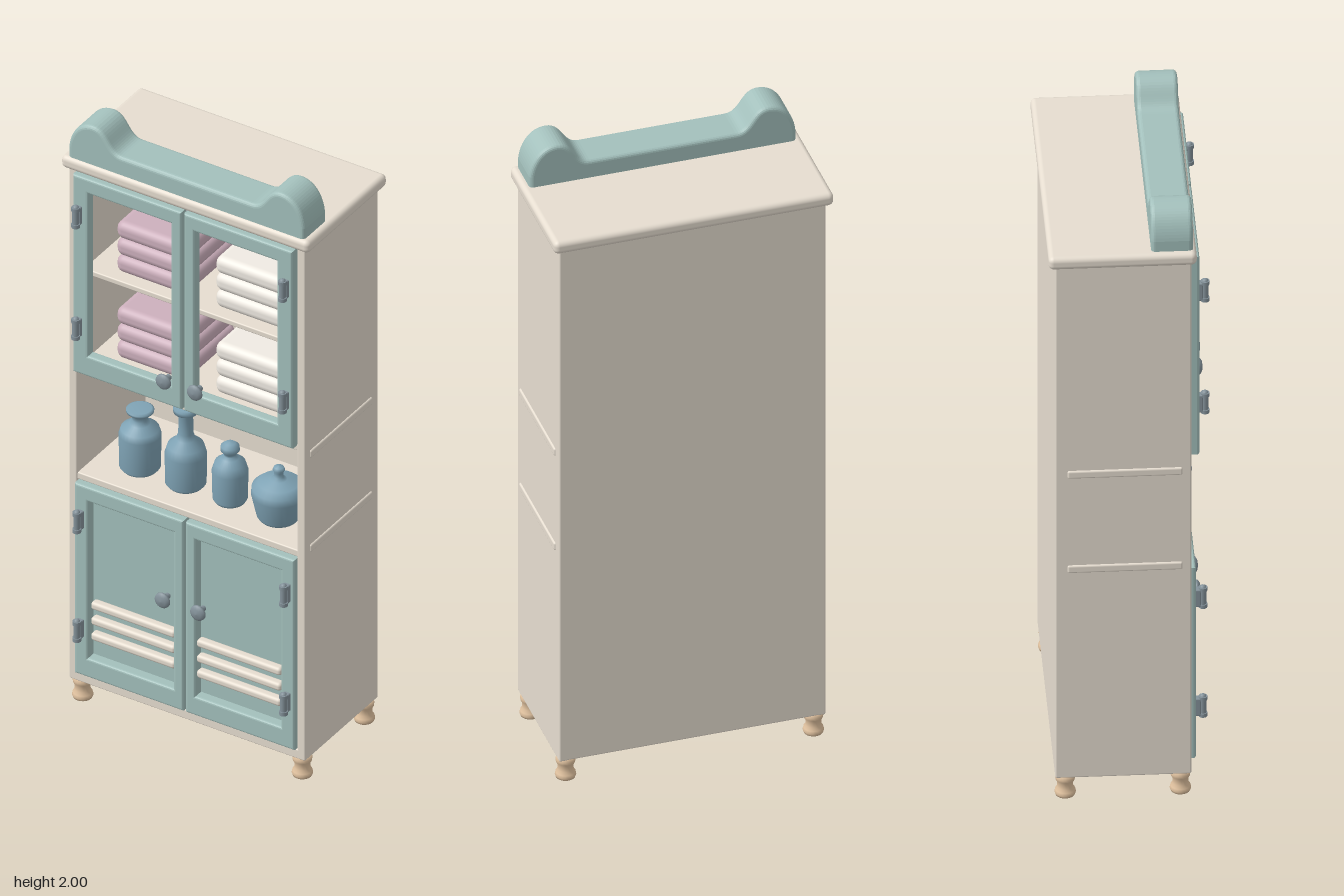
import * as THREE from 'three';
import { RoundedBoxGeometry } from 'three/addons/geometries/RoundedBoxGeometry.js';

const paint = (color) => new THREE.MeshStandardMaterial({ color });
const cream = paint(0xe6ddd0), teal = paint(0xa3c0bc), blue = paint(0x7fa3b5);
const pink = paint(0xcdb0bd), white = paint(0xf0ebe3), wood = paint(0xe2c3a0), metal = paint(0x84929a);

// Rounded box given by its limits on each axis
function slab(name, mat, [x0, x1], [y0, y1], [z0, z1], r = 0.004) {
  const mesh = new THREE.Mesh(new RoundedBoxGeometry(x1 - x0, y1 - y0, z1 - z0, 3, r), mat);
  mesh.position.set((x0 + x1) / 2, (y0 + y1) / 2, (z0 + z1) / 2);
  mesh.name = name;
  return mesh;
}

function lathe(name, mat, points, x, y, z, segments = 28) {
  const profile = points.map(([r, h]) => new THREE.Vector2(r, h));
  const mesh = new THREE.Mesh(new THREE.LatheGeometry(profile, segments), mat);
  mesh.position.set(x, y, z);
  mesh.name = name;
  return mesh;
}

// Door frame with a bevelled rectangular opening
function doorFrame(name, [x0, x1], [y0, y1], [hx0, hx1], [hy0, hy1], z0, z1) {
  const b = 0.007;
  const shape = new THREE.Shape();
  shape.moveTo(x0 + b, y0 + b).lineTo(x1 - b, y0 + b).lineTo(x1 - b, y1 - b).lineTo(x0 + b, y1 - b).closePath();
  const hole = new THREE.Path();
  hole.moveTo(hx0 - b, hy0 - b).lineTo(hx0 - b, hy1 + b).lineTo(hx1 + b, hy1 + b).lineTo(hx1 + b, hy0 - b).closePath();
  shape.holes.push(hole);
  const geo = new THREE.ExtrudeGeometry(shape, {
    depth: z1 - z0 - 2 * b, bevelThickness: b, bevelSize: b, bevelSegments: 3,
  });
  const mesh = new THREE.Mesh(geo, teal);
  mesh.position.z = z0 + b;
  mesh.name = name;
  return mesh;
}

function knob(x, y, z) {
  const mesh = lathe('knob', metal, [[0.009, -0.01], [0.009, 0.008], [0.019, 0.011], [0.025, 0.018],
    [0.024, 0.024], [0.015, 0.03], [0, 0.032]], x, y, z, 20);
  mesh.rotation.x = Math.PI / 2;
  return mesh;
}

function hinge(x, y, z) {
  const g = new THREE.Group();
  g.name = 'hinge';
  const pin = new THREE.Mesh(new THREE.CapsuleGeometry(0.01, 0.062, 4, 12), metal);
  pin.position.z = 0.02;
  g.add(pin, slab('hingePlate', metal, [-0.011, 0.011], [-0.03, 0.03], [-0.004, 0.014]));
  for (const s of [-1, 1]) {
    const ring = new THREE.Mesh(new THREE.CylinderGeometry(0.013, 0.013, 0.012, 12), metal);
    ring.position.set(0, s * 0.028, 0.02);
    g.add(ring);
  }
  g.position.set(x, y, z);
  return g;
}

// Crest board: low rail with a rounded hump at each end
function crest() {
  const b = 0.012;
  const s = new THREE.Shape();
  s.moveTo(-0.388, 1.87).lineTo(0.388, 1.87).lineTo(0.388, 1.905);
  s.bezierCurveTo(0.382, 1.955, 0.355, 1.988, 0.318, 1.988);
  s.bezierCurveTo(0.275, 1.988, 0.275, 1.918, 0.22, 1.918);
  s.lineTo(-0.22, 1.918);
  s.bezierCurveTo(-0.275, 1.918, -0.275, 1.988, -0.318, 1.988);
  s.bezierCurveTo(-0.355, 1.988, -0.382, 1.955, -0.388, 1.905);
  s.closePath();
  const geo = new THREE.ExtrudeGeometry(s, {
    depth: 0.096, bevelThickness: b, bevelSize: b, bevelSegments: 4, curveSegments: 16,
  });
  const mesh = new THREE.Mesh(geo, teal);
  mesh.position.z = 0.077;
  mesh.name = 'crest';
  return mesh;
}

export function createModel() {
  const model = new THREE.Group();
  model.name = 'cabinet';

  // Carcass
  const inside = [-0.385, 0.385];
  for (const s of [-1, 1]) {
    model.add(slab('sidePanel', cream, s < 0 ? [-0.4, -0.373] : [0.373, 0.4], [0.07, 1.84], [-0.21, 0.18], 0.005));
  }
  model.add(
    slab('backPanel', cream, [-0.398, 0.398], [0.072, 1.84], [-0.21, -0.185]),
    slab('bottomBoard', cream, [-0.398, 0.398], [0.07, 0.102], [-0.208, 0.18]),
    slab('topBoard', cream, [-0.42, 0.42], [1.83, 1.872], [-0.23, 0.195], 0.016),
    slab('innerShelf', cream, inside, [1.45, 1.468], [-0.195, 0.14]),
    crest(),
  );

  // Niche boards, whose ends show slightly through the sides
  for (const [y, top] of [[0.762, 0.785], [1.128, 1.15]]) {
    model.add(slab('nicheBoard', cream, inside, [y, top], [-0.195, 0.175]));
  }
  for (const y of [0.79, 1.115]) {
    for (const s of [-1, 1]) {
      const end = slab('shelfEnd', cream, [-0.012, 0.012], [-0.013, 0.013], [-0.175, 0.155], 0.006);
      end.position.x = s * 0.393;
      end.position.y = y;
      model.add(end);
    }
  }

  // Feet
  const foot = [[0, 0], [0.028, 0], [0.031, 0.008], [0.029, 0.017], [0.023, 0.026], [0.023, 0.042],
    [0.028, 0.052], [0.029, 0.06], [0.026, 0.075], [0, 0.075]];
  for (const x of [-0.372, 0.372]) {
    for (const z of [0.15, -0.18]) model.add(lathe('foot', wood, foot, x, 0, z, 20));
  }

  // Doors, slats and fittings
  for (const s of [-1, 1]) {
    const range = (a, b) => (s < 0 ? [-b, -a] : [a, b]);
    const edge = range(0.004, 0.372);
    model.add(
      doorFrame('upperDoor', edge, [1.15, 1.83], range(0.04, 0.32), [1.22, 1.78], 0.172, 0.205),
      doorFrame('lowerDoor', edge, [0.105, 0.76], range(0.037, 0.327), [0.17, 0.71], 0.155, 0.195),
      slab('lowerDoorPanel', teal, range(0.02, 0.35), [0.13, 0.74], [0.148, 0.163]),
      knob(s * 0.053, 1.24, 0.202),
      knob(s * 0.06, 0.48, 0.196),
    );
    for (const y of [0.245, 0.298, 0.351]) {
      model.add(slab('slat', cream, range(0.036, 0.322), [y - 0.013, y + 0.013], [0.16, 0.19], 0.01));
    }
    for (const y of [0.27, 0.645, 1.315, 1.7]) model.add(hinge(s * 0.35, y, y > 1 ? 0.202 : 0.196));

    // Folded towels, three to a stack
    for (const base of [1.15, 1.468]) {
      for (let i = 0; i < 3; i++) {
        const y = base + (base > 1.3 ? 0 : 0.022) + i * 0.058;
        model.add(slab('towel', s < 0 ? pink : white, range(0.045, 0.29), [y, y + 0.058], [-0.16, 0.11], 0.024));
      }
    }
  }

  // Bottles and jar in the niche
  const bottles = [
    [-0.235, [[0, 0], [0.05, 0], [0.06, 0.012], [0.062, 0.12], [0.056, 0.14], [0.03, 0.157], [0.023, 0.17],
      [0.023, 0.185], [0.04, 0.197], [0.041, 0.204], [0.034, 0.208], [0, 0.208]]],
    [-0.08, [[0, 0], [0.05, 0], [0.06, 0.012], [0.061, 0.11], [0.053, 0.138], [0.028, 0.16], [0.022, 0.18],
      [0.021, 0.245], [0.036, 0.252], [0.037, 0.265], [0.03, 0.269], [0, 0.269]]],
    [0.07, [[0, 0], [0.044, 0], [0.051, 0.012], [0.053, 0.105], [0.045, 0.132], [0.026, 0.148], [0.018, 0.156],
      [0.018, 0.163], [0.028, 0.174], [0.027, 0.188], [0.015, 0.198], [0, 0.2]]],
    [0.235, [[0, 0], [0.055, 0], [0.064, 0.012], [0.08, 0.085], [0.078, 0.108], [0.06, 0.124], [0.024, 0.134],
      [0.014, 0.142], [0.013, 0.156], [0.018, 0.166], [0.014, 0.175], [0, 0.178]]],
  ];
  for (const [x, profile] of bottles) model.add(lathe('bottle', blue, profile, x, 0.784, 0.06));

  return model;
}
